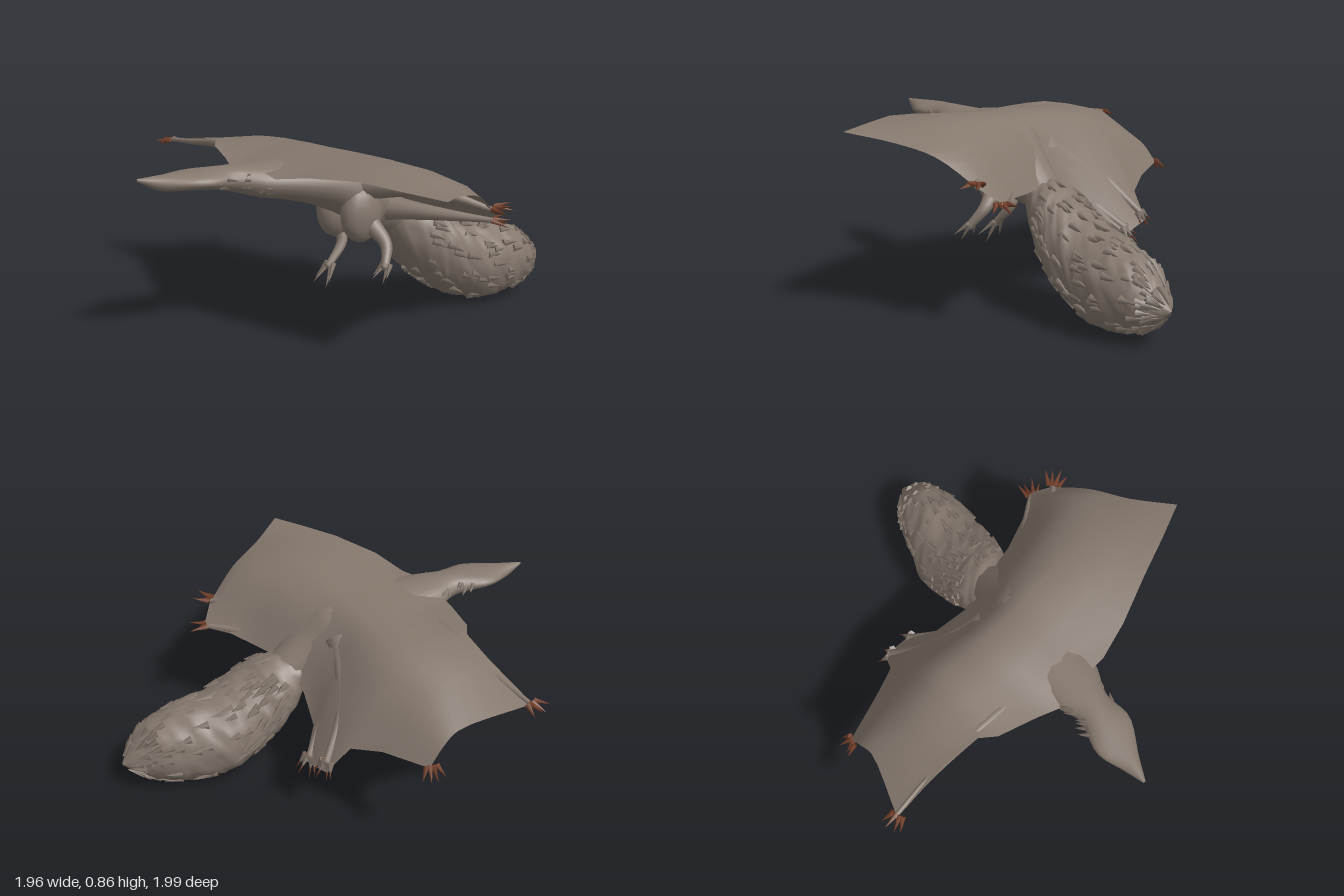
import * as THREE from 'three';

const V = (p) => new THREE.Vector3(...p);
const curve = (pts) => new THREE.CatmullRomCurve3(pts.map(V), false, 'centripetal');

// Small seeded generator for the fur
function seeded(seed) {
  return () => {
    seed = (seed * 16807) % 2147483647;
    return seed / 2147483647;
  };
}

function gridGeometry(points, rows, cols, wrap) {
  const index = [];
  for (let i = 0; i < rows - 1; i++) {
    for (let j = 0; j < (wrap ? cols : cols - 1); j++) {
      const k = (j + 1) % cols;
      const a = i * cols + j, b = i * cols + k, c = a + cols, d = b + cols;
      index.push(a, c, b, b, c, d);
    }
  }
  const g = new THREE.BufferGeometry();
  g.setAttribute('position', new THREE.Float32BufferAttribute(points.flatMap((p) => p.toArray()), 3));
  g.setIndex(index);
  g.computeVertexNormals();
  return g;
}

// Sections [x, y, z, rx, ry] running from front to back
function sectionAt(sections) {
  const centre = new THREE.CatmullRomCurve3(sections.map((s) => new THREE.Vector3(s[0], s[1], s[2])));
  const radii = new THREE.CatmullRomCurve3(sections.map((s) => new THREE.Vector3(s[3], s[4], 0)));
  return (t, angle, k = 1) => {
    const c = centre.getPoint(t), r = radii.getPoint(t);
    return c.add(new THREE.Vector3(Math.cos(angle) * r.x * k, Math.sin(angle) * r.y * k, 0));
  };
}

function loft(at, rows, cols, rough = () => 1) {
  const points = [];
  for (let i = 0; i < rows; i++) {
    for (let j = 0; j < cols; j++) points.push(at(i / (rows - 1), (j / cols) * Math.PI * 2, rough()));
  }
  return gridGeometry(points, rows, cols, true);
}

// Tube that narrows from radius r0 to r1
function taperedTube(path, r0, r1) {
  const rows = 12, sides = 10;
  const g = new THREE.TubeGeometry(path, rows, 1, sides);
  const pos = g.attributes.position, p = new THREE.Vector3();
  for (let i = 0; i < pos.count; i++) {
    const t = Math.floor(i / (sides + 1)) / rows;
    const c = path.getPointAt(t);
    p.fromBufferAttribute(pos, i).sub(c).multiplyScalar(r0 + (r1 - r0) * Math.sqrt(t)).add(c);
    pos.setXYZ(i, p.x, p.y, p.z);
  }
  return g;
}

export function createModel() {
  const model = new THREE.Group();
  const fur = new THREE.MeshStandardMaterial({ name: 'fur', color: 0x85786d });
  const skin = new THREE.MeshStandardMaterial({ name: 'membrane', color: 0x85786d, side: THREE.DoubleSide });
  const claw = new THREE.MeshStandardMaterial({ name: 'claw', color: 0x74402a });
  const rand = seeded(77);
  const add = (name, geometry, material, parent = model) => {
    const mesh = new THREE.Mesh(geometry, material);
    mesh.name = name;
    parent.add(mesh);
    return mesh;
  };
  const spike = (name, base, dir, length, radius, material, parent, sides = 4) => {
    const mesh = add(name, new THREE.ConeGeometry(radius, length, sides), material, parent);
    const d = dir.clone().normalize();
    mesh.quaternion.setFromUnitVectors(new THREE.Vector3(0, 1, 0), d);
    mesh.position.copy(base).addScaledVector(d, length / 2);
  };

  // Body and head
  const bodyAt = sectionAt([
    [-0.11, 0.825, 0.99, 0.006, 0.006], [-0.08, 0.803, 0.9, 0.045, 0.033],
    [-0.035, 0.802, 0.75, 0.11, 0.04], [0, 0.79, 0.62, 0.085, 0.055],
    [0.03, 0.768, 0.5, 0.13, 0.075], [0.06, 0.748, 0.35, 0.16, 0.092],
    [0.1, 0.715, 0.18, 0.175, 0.12], [0.15, 0.64, 0, 0.165, 0.175],
    [0.19, 0.565, -0.12, 0.115, 0.13], [0.22, 0.47, -0.25, 0.09, 0.1],
  ]);
  add('body', loft(bodyAt, 40, 20), fur);

  // Cheek fur
  const cheeks = new THREE.Group();
  cheeks.name = 'cheekFur';
  model.add(cheeks);
  for (let i = 0; i < 20; i++) {
    const angle = (i % 2 ? Math.PI : 0) + (rand() - 0.5) * 1.2;
    const t = 0.25 + rand() * 0.2;
    spike('tuft', bodyAt(t, angle, 0.92), V([Math.cos(angle) * 0.7, -0.2, -0.9]), 0.05, 0.013, fur, cheeks);
  }

  // Gliding membrane: each column has a front, ridge and back point, and a bulge behind the ridge
  const columns = [
    [[-0.91, 0.74, 0.31], [-0.78, 0.65, 0.02], [-0.78, 0.52, -0.13], 0.02],
    [[-0.62, 0.805, 0.32], [-0.6, 0.76, 0.08], [-0.55, 0.49, -0.2], 0.05],
    [[-0.45, 0.832, 0.345], [-0.42, 0.8, 0.05], [-0.4, 0.44, -0.26], 0.05],
    [[-0.38, 0.825, 0.405], [-0.33, 0.81, 0.03], [-0.35, 0.32, -0.36], 0.05],
    [[-0.2, 0.81, 0.47], [-0.2, 0.825, 0.05], [-0.19, 0.28, -0.36], 0.05],
    [[-0.1, 0.79, 0.51], [-0.1, 0.835, 0.06], [-0.1, 0.38, -0.25], 0.06],
    [[0.05, 0.83, 0.5], [0.05, 0.845, 0.07], [0.05, 0.46, -0.2], 0.06],
    [[0.2, 0.805, 0.5], [0.2, 0.855, 0.07], [0.22, 0.56, -0.21], 0.06],
    [[0.37, 0.84, 0.465], [0.42, 0.865, 0.08], [0.4, 0.55, -0.24], 0.08],
    [[0.6, 0.86, 0.39], [0.6, 0.86, 0.08], [0.56, 0.56, -0.29], 0.08],
    [[0.8, 0.85, 0.33], [0.74, 0.83, 0.08], [0.68, 0.56, -0.36], 0.07],
    [[0.98, 0.84, 0.27], [0.875, 0.8, 0.08], [0.75, 0.63, -0.28], 0.035],
  ];
  const sheet = [];
  for (const [front, ridge, back, bulge] of columns) {
    const mid = ridge.map((v, k) => (v + back[k]) / 2 + (k === 1 ? bulge : 0));
    const c = curve([front, ridge, mid, back]);
    for (let j = 0; j <= 12; j++) sheet.push(c.getPoint(j / 12));
  }
  add('membrane', gridGeometry(sheet, columns.length, 13, false), skin);

  // Bushy tail with tufts lying back along the surface
  const tailAt = sectionAt([
    [0.19, 0.58, -0.1, 0.07, 0.1], [0.21, 0.45, -0.2, 0.13, 0.15],
    [0.24, 0.38, -0.3, 0.175, 0.195], [0.27, 0.31, -0.4, 0.19, 0.205],
    [0.3, 0.235, -0.55, 0.205, 0.205], [0.345, 0.212, -0.7, 0.182, 0.198],
    [0.38, 0.198, -0.85, 0.135, 0.15], [0.4, 0.18, -0.94, 0.065, 0.07],
    [0.41, 0.17, -0.995, 0.004, 0.004],
  ]);
  add('tail', loft(tailAt, 44, 34, () => 0.94 + rand() * 0.1), fur);
  const tufts = new THREE.Group();
  tufts.name = 'tailTufts';
  model.add(tufts);
  for (let i = 0; i < 170; i++) {
    const t = 0.2 + rand() * 0.66, angle = rand() * Math.PI * 2;
    const base = tailAt(t, angle, 0.95);
    const back = tailAt(t + 0.08, angle, 1.07).sub(base);
    spike('tuft', base, back, 0.06 + rand() * 0.03, 0.02, fur, tufts, 5);
  }

  // Hanging legs: thigh, shin and toes
  const limb = (name, pts, r0, r1) => {
    const c = curve(pts);
    add(name, taperedTube(c, r0, r1), fur);
    add(name + 'Tip', new THREE.SphereGeometry(r1 * 1.15, 8, 6), fur).position.copy(c.getPoint(1));
  };
  const toes = (name, at, dir, length, radius, material, count = 4) => {
    const foot = new THREE.Group();
    foot.name = name;
    model.add(foot);
    const d = V(dir).normalize();
    const side = new THREE.Vector3(0, 1, 0).cross(d).normalize();
    const lift = d.clone().cross(side);
    for (let i = 0; i < count; i++) {
      const f = i / (count - 1) - 0.5;
      const base = V(at).addScaledVector(side, f * 0.045);
      const aim = d.clone().addScaledVector(side, f * 0.9).addScaledVector(lift, (i % 2) * 0.35 - 0.2);
      spike('toe', base, aim, length * (1 - Math.abs(f) * 0.4), radius, material, foot, 5);
    }
  };
  const thigh = (name, p, s) => {
    const m = add(name, new THREE.SphereGeometry(1, 16, 12), fur);
    m.position.set(...p);
    m.scale.set(...s);
  };
  thigh('rightThigh', [0.1, 0.56, 0.07], [0.085, 0.13, 0.1]);
  thigh('leftThigh', [0.26, 0.58, 0.06], [0.075, 0.14, 0.11]);
  limb('rightShin', [[0.11, 0.5, 0.08], [0.14, 0.42, 0.07], [0.15, 0.32, 0.16]], 0.04, 0.016);
  limb('leftShin', [[0.28, 0.54, 0.04], [0.38, 0.45, 0.02], [0.43, 0.37, 0.07]], 0.06, 0.018);
  toes('rightToes', [0.15, 0.33, 0.15], [0, -0.8, 0.6], 0.13, 0.013, fur);
  toes('leftToes', [0.43, 0.38, 0.06], [0, -0.7, 0.6], 0.1, 0.013, fur);

  // Limbs that stretch the membrane, thick at the body
  limb('rightArm', [[-0.02, 0.76, 0.35], [-0.43, 0.805, 0.32], [-0.7, 0.765, 0.3], [-0.91, 0.738, 0.305]], 0.055, 0.01);
  limb('rightRearLimb', [[0.1, 0.6, 0], [-0.07, 0.48, -0.13], [-0.2, 0.31, -0.34]], 0.09, 0.018);
  limb('rightOuterLimb', [[0, 0.68, 0], [-0.23, 0.53, -0.17], [-0.33, 0.36, -0.34]], 0.09, 0.016);
  limb('leftRearLimb', [[0.22, 0.58, -0.06], [0.48, 0.57, -0.21], [0.68, 0.56, -0.345]], 0.09, 0.012);
  limb('leftOuterLimb', [[0.25, 0.7, 0.03], [0.55, 0.71, -0.11], [0.75, 0.64, -0.27]], 0.08, 0.012);

  // Hands and feet
  const clawed = [
    ['rightHand', [-0.9, 0.74, 0.31], [-1, -0.2, 0.2], 0.085],
    ['rightMiddle', [-0.78, 0.53, -0.12], [-0.8, -0.8, -0.3], 0.085],
    ['leftRear', [0.68, 0.565, -0.34], [0.55, -0.15, -0.8], 0.1],
    ['leftOuter', [0.75, 0.65, -0.27], [0.9, 0.1, -0.5], 0.1],
  ];
  for (const [name, at, dir, length] of clawed) toes(name + 'Claws', at, dir, length, 0.014, claw);
  const rear = [
    ['rightRear', [-0.2, 0.31, -0.34], [-0.25, -0.8, -0.6], 0.11],
    ['rightOuter', [-0.33, 0.36, -0.34], [-0.15, -0.8, -0.5], 0.095],
  ];
  for (const [name, at, dir, length] of rear) {
    toes(name + 'Toes', at, dir, length * 0.75, 0.018, fur);
    toes(name + 'Claws', at, dir, length, 0.011, claw);
  }

  return model;
}
